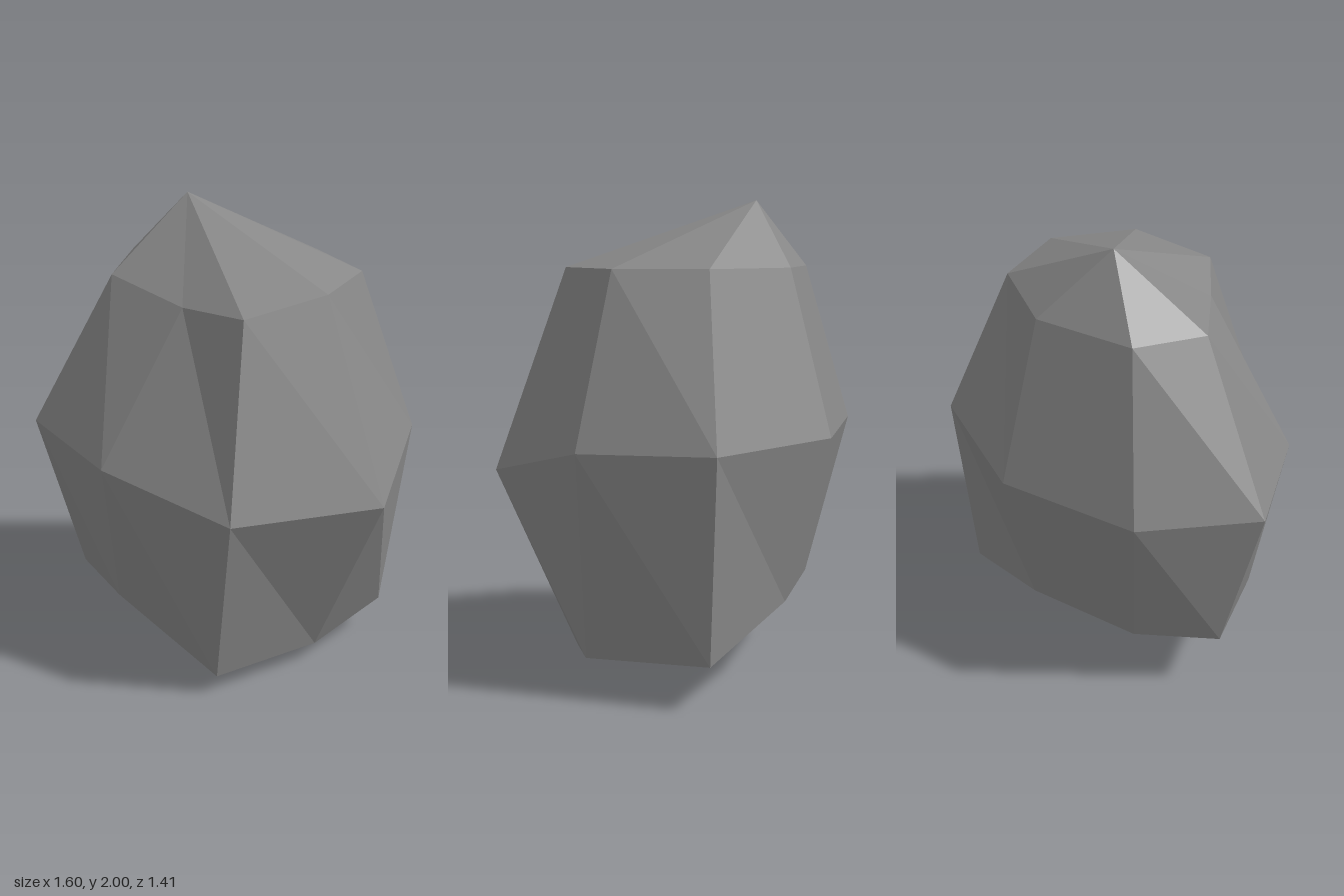
import * as THREE from 'three';

// Eight-sided cross-sections of the boulder, counter-clockwise from the front
const upperRing = [
  [-0.05, 1.66, 0.45], [0.31, 1.72, 0.40], [0.56, 1.72, 0.11], [0.49, 1.72, -0.27],
  [0.14, 1.72, -0.52], [-0.30, 1.72, -0.50], [-0.45, 1.69, -0.21], [-0.23, 1.64, 0.17],
];
const middleRing = [
  [-0.17, 0.895, 0.70], [0.49, 0.88, 0.655], [0.80, 1.02, 0.18], [0.78, 1.03, -0.38],
  [0.20, 1.03, -0.71], [-0.43, 1.035, -0.68], [-0.80, 1.015, -0.31], [-0.60, 0.995, 0.25],
];
const lowerRing = [
  [-0.18, 0.095, 0.52], [0.31, 0.09, 0.37], [0.68, 0.165, 0.19], [0.72, 0.19, -0.34],
  [0.22, 0.33, -0.53], [-0.31, 0.33, -0.515], [-0.61, 0.29, -0.295], [-0.52, 0.31, 0.10],
];
const peak = [-0.09, 2, -0.32];
const base = [0.03, 0, -0.04];

// Join the rings with facets and close both ends with fans
function createRockGeometry() {
  const rings = [upperRing, middleRing, lowerRing];
  const n = upperRing.length;
  const points = [];
  for (let i = 0; i < n; i++) {
    const j = (i + 1) % n;
    points.push(peak, upperRing[i], upperRing[j]);
    for (let r = 0; r < rings.length - 1; r++) {
      const top = rings[r], bottom = rings[r + 1];
      points.push(top[i], bottom[i], bottom[j], top[i], bottom[j], top[j]);
    }
    points.push(base, lowerRing[j], lowerRing[i]);
  }
  const geometry = new THREE.BufferGeometry();
  geometry.setAttribute('position', new THREE.Float32BufferAttribute(points.flat(), 3));
  geometry.computeVertexNormals();
  return geometry;
}

export function createModel() {
  const stone = new THREE.MeshStandardMaterial({ color: 0x888888 });
  stone.name = 'grey stone';

  const rock = new THREE.Mesh(createRockGeometry(), stone);
  rock.name = 'rock';

  const model = new THREE.Group();
  model.name = 'boulder';
  model.add(rock);
  return model;
}
